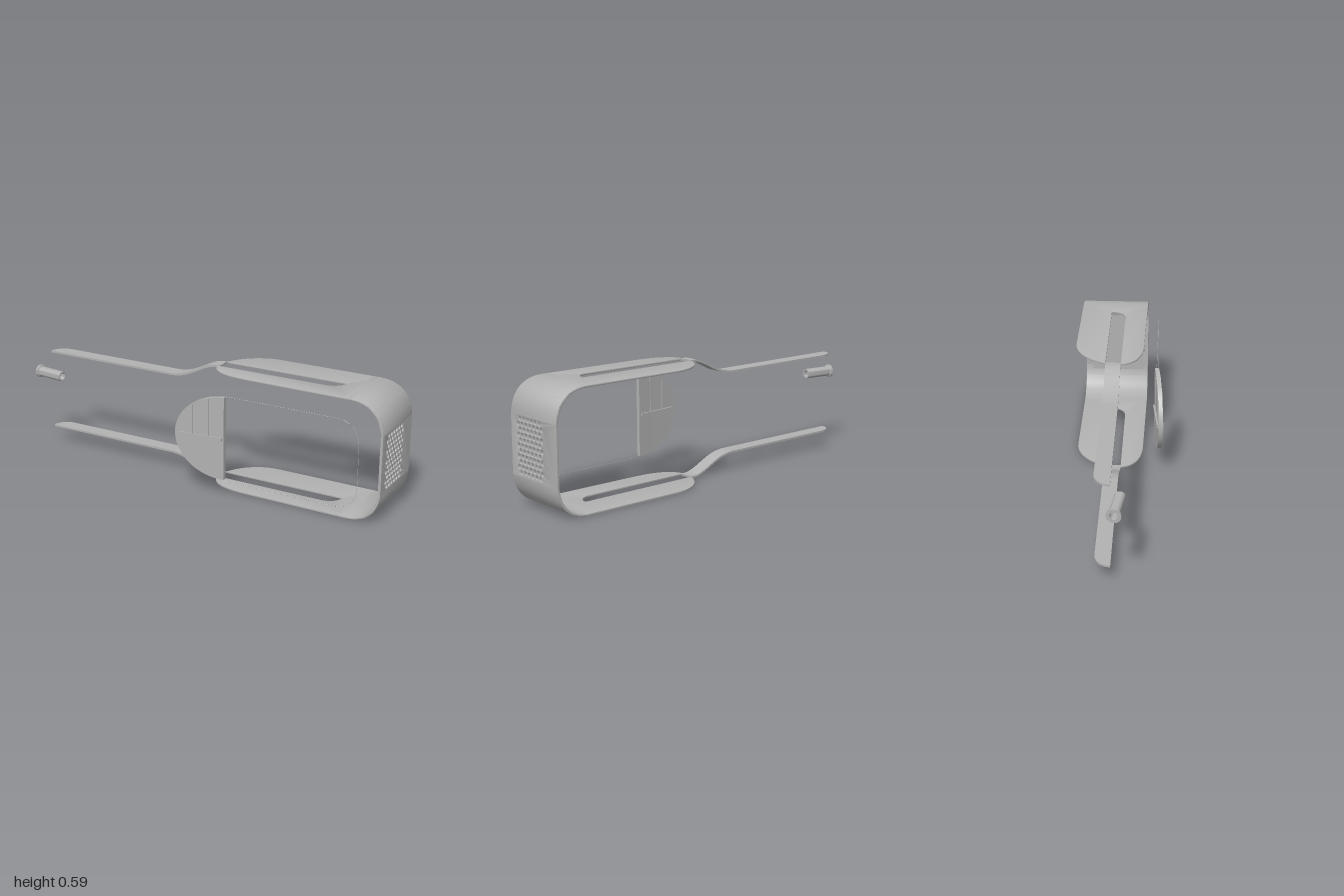
import * as THREE from 'three';
import { toCreasedNormals } from 'three/addons/utils/BufferGeometryUtils.js';

const H = 0.594, BACK = -0.225, FRONT = 0.127;

// Solid skinned over four-cornered loops that advance along +x
function loft(loops) {
  const pos = loops.flat(2), idx = [], last = (loops.length - 1) * 4;
  for (let i = 0; i < loops.length - 1; i++) {
    for (let j = 0; j < 4; j++) {
      const a = i * 4 + j, b = i * 4 + (j + 1) % 4;
      idx.push(a, b, b + 4, a, b + 4, a + 4);
    }
  }
  idx.push(0, 2, 1, 0, 3, 2, last, last + 1, last + 2, last, last + 2, last + 3);
  const g = new THREE.BufferGeometry();
  g.setAttribute('position', new THREE.Float32BufferAttribute(pos, 3));
  g.setIndex(idx);
  return g.toNonIndexed();
}

// Extrusion with softened rims that stays inside its outline
function slab(shape, depth, bevel, curveSegments = 16) {
  return new THREE.ExtrudeGeometry(shape, {
    depth: depth - 2 * bevel, bevelThickness: bevel, bevelSize: bevel,
    bevelOffset: -bevel, bevelSegments: 2, curveSegments,
  }).translate(0, 0, bevel);
}

// Copy reflected top to bottom, with the triangles turned round again
function flipped(geometry) {
  const g = geometry.clone(), p = g.attributes.position;
  for (let i = 0; i < p.count; i++) p.setY(i, H - p.getY(i));
  for (let i = 0; i < p.count; i += 3) {
    const b = [p.getX(i + 1), p.getY(i + 1), p.getZ(i + 1)];
    p.setXYZ(i + 1, p.getX(i + 2), p.getY(i + 2), p.getZ(i + 2));
    p.setXYZ(i + 2, ...b);
  }
  return g;
}

function roundedSquare(cx, cy, s, r) {
  const h = s / 2, p = new THREE.Path();
  p.absarc(cx + h - r, cy + h - r, r, 0, Math.PI / 2);
  p.absarc(cx - h + r, cy + h - r, r, Math.PI / 2, Math.PI);
  p.absarc(cx - h + r, cy - h + r, r, Math.PI, Math.PI * 1.5);
  p.absarc(cx + h - r, cy - h + r, r, Math.PI * 1.5, Math.PI * 2);
  return p;
}

export function createModel() {
  const model = new THREE.Group();
  model.name = 'explodedHousing';
  const grey = new THREE.MeshStandardMaterial({ color: 0xb2b2b2 });
  grey.name = 'plainGrey';

  function add(name, geometry, parent = model) {
    const g = geometry.index ? geometry.toNonIndexed() : geometry;
    const mesh = new THREE.Mesh(toCreasedNormals(g, 0.6), grey);
    mesh.name = name;
    parent.add(mesh);
    return mesh;
  }
  function addPair(name, geometry) {
    add('upper' + name, geometry);
    add('lower' + name, flipped(geometry));
  }

  // Slotted side plates, each with two round-nosed prongs
  const prongs = new THREE.Shape();
  prongs.moveTo(0.84, BACK);
  prongs.lineTo(0.31, BACK);
  prongs.bezierCurveTo(0.2, BACK, 0.12, -0.15, 0.09, -0.065);
  prongs.lineTo(0.735, -0.065);
  prongs.bezierCurveTo(0.73, -0.02, 0.7, 0.01, 0.645, 0.01);
  prongs.lineTo(0.08, 0.01);
  prongs.bezierCurveTo(0.09, 0.085, 0.17, 0.12, 0.3, FRONT - 0.006);
  prongs.lineTo(0.84, FRONT);
  addPair('SidePlate', slab(prongs, 0.01, 0.003).rotateX(Math.PI / 2).translate(0, H, 0));

  // Curved corners between the side plates and the end wall
  const corner = new THREE.Shape();
  corner.moveTo(0.8, H);
  corner.lineTo(0.83, H);
  corner.bezierCurveTo(0.94, H, 0.995, 0.53, 1, 0.44);
  corner.lineTo(1, 0.425);
  corner.lineTo(0.987, 0.425);
  corner.lineTo(0.987, 0.44);
  corner.bezierCurveTo(0.98, 0.52, 0.93, H - 0.011, 0.83, H - 0.01);
  corner.lineTo(0.8, H - 0.01);
  // Kept clear of the grille by ending just under its topmost row
  corner.curves.splice(2, 3, new THREE.LineCurve(new THREE.Vector2(1, 0.44), new THREE.Vector2(0.987, 0.44)));
  addPair('Corner', slab(corner, FRONT - BACK, 0.004, 24).translate(0, 0, BACK));

  // End wall with staggered rows of rounded square openings
  const wall = new THREE.Shape();
  wall.moveTo(-FRONT, 0.151);
  wall.lineTo(-BACK, 0.151);
  wall.lineTo(-BACK, 0.443);
  wall.lineTo(-FRONT, 0.443);
  for (let row = 0; row < 11; row++) {
    const count = row % 2 ? 7 : 6;
    for (let i = 0; i < count; i++) {
      const z = -0.0225 + (i - (count - 1) / 2) * 0.0303;
      wall.holes.push(roundedSquare(-z, 0.172 + row * 0.0252, 0.019, 0.005));
    }
  }
  add('grilleWall', slab(wall, 0.013, 0.002, 3).rotateY(Math.PI / 2).translate(0.987, 0, 0));
  add('grilleBacking', new THREE.BoxGeometry(0.008, 0.33, 0.29).translate(0.984, H / 2, -0.04));

  // Straps: long flat run, gentle rise, and an end rounded on one side
  const rise = new THREE.CatmullRomCurve3([
    [-0.23, 0.505], [-0.17, 0.506], [-0.11, 0.518], [-0.056, 0.541],
    [0, 0.569], [0.05, 0.587], [0.09, 0.589],
  ].map(([x, y]) => new THREE.Vector3(x, y, 0)));
  const strapLoop = (x, y, z0) => [
    [x, y - 0.005, z0], [x, y + 0.005, z0], [x, y + 0.005, 0.01], [x, y - 0.005, 0.01]];
  const strap = [];
  for (let i = 0; i <= 10; i++) {
    const a = (i / 10) * Math.PI / 2;
    strap.push(strapLoop(-0.85 - 0.08 * Math.cos(a), 0.505, 0.008 - 0.073 * Math.sin(a)));
  }
  for (const p of rise.getPoints(30)) strap.push(strapLoop(p.x, p.y, -0.065));
  addPair('Strap', loft(strap));

  // Half-oval front cover, leaning forward towards its nose
  const cover = new THREE.Group();
  cover.name = 'frontCover';
  model.add(cover);
  const lean = (x) => {
    const f = (0.22 - x) / 0.255;
    return 0.198 + 0.027 * f * (1.2 - 0.2 * f);
  };
  const halfHeight = (x) => 0.21 * Math.sqrt(Math.max(0, 1 - ((0.22 - x) / 0.255) ** 2));
  const coverLoops = [];
  for (let i = 0; i <= 32; i++) {
    const x = 0.22 - 0.255 * Math.cos((i / 32) * Math.PI / 2);
    const h = Math.max(halfHeight(x), 0.002), z = lean(x);
    coverLoops.push([[x, 0.298 - h, z - 0.021], [x, 0.298 + h, z - 0.021],
      [x, 0.298 + h, z], [x, 0.298 - h, z]]);
  }
  add('coverPanel', loft(coverLoops), cover);

  // Upright ribs on the upper half and a ledge across the middle
  for (const x of [0.058, 0.142]) {
    const h = halfHeight(x) - 0.004;
    add('coverRib', new THREE.BoxGeometry(0.006, h, 0.027)
      .translate(x, 0.298 + h / 2, lean(x) - 0.0105), cover);
  }
  const ledge = add('coverLedge', new THREE.BoxGeometry(0.225, 0.016, 0.034), cover);
  ledge.position.set(0.098, 0.298, 0.2);
  ledge.rotation.y = 0.1;

  // Hair-thin rim continuing the cover outline
  const rim = new THREE.CurvePath();
  const v = (x, y) => new THREE.Vector3(x, y, 0.187);
  rim.add(new THREE.LineCurve3(v(0.22, 0.513), v(0.79, 0.513)));
  rim.add(new THREE.CubicBezierCurve3(v(0.79, 0.513), v(0.87, 0.513), v(0.91, 0.47), v(0.91, 0.39)));
  rim.add(new THREE.LineCurve3(v(0.91, 0.39), v(0.91, 0.204)));
  rim.add(new THREE.CubicBezierCurve3(v(0.91, 0.204), v(0.91, 0.124), v(0.87, 0.081), v(0.79, 0.081)));
  rim.add(new THREE.LineCurve3(v(0.79, 0.081), v(0.22, 0.081)));
  add('thinRim', new THREE.TubeGeometry(rim, 120, 0.0008, 4));

  // Hollow flanged sleeve lying slightly askew
  const sleeve = [[0.018, 0], [0.034, 0], [0.034, 0.01], [0.026, 0.014],
    [0.026, 0.163], [0.018, 0.163], [0.018, 0]].map(([r, y]) => new THREE.Vector2(r, y));
  const sleeveMesh = add('flangedSleeve', new THREE.LatheGeometry(sleeve, 32).rotateZ(-Math.PI / 2));
  sleeveMesh.rotation.y = -0.13;
  sleeveMesh.position.set(-0.996, 0.393, 0.028);

  return model;
}
